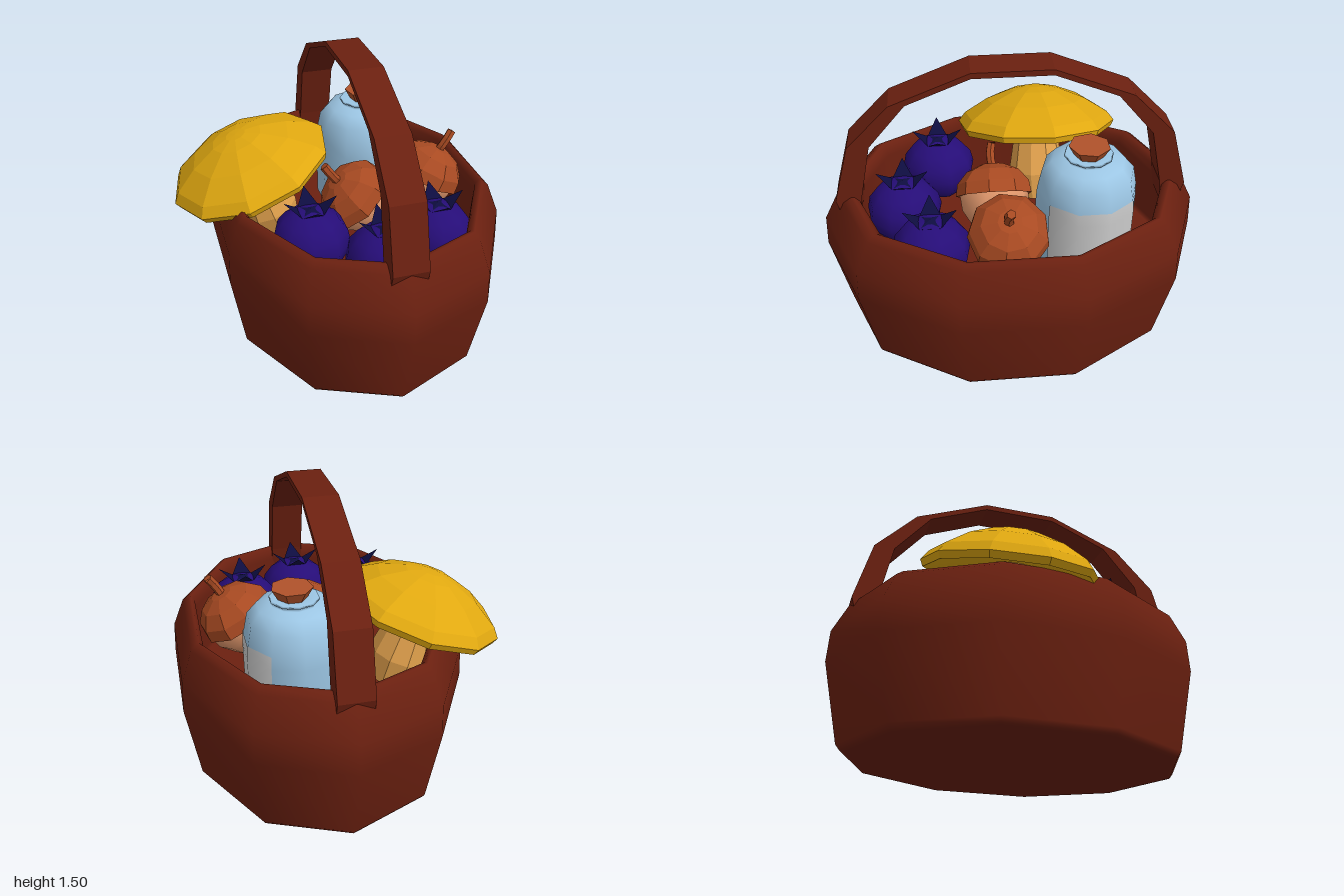
import * as THREE from 'three';

const mat = (color, flatShading = false) =>
  new THREE.MeshStandardMaterial({ color, flatShading, side: THREE.DoubleSide });

const BROWN = mat(0x6b2010);
const YELLOW = mat(0xe0a810, true);
const STALK = mat(0xe0a04c, true);
const GLASS = mat(0x9cc6e4);
const LABEL = mat(0xcccccc);
const CORK = mat(0xb0522a, true);
const NUT = mat(0xe0976c);
const CUPULE = mat(0xa84a22, true);
const BERRY = mat(0x260d78);
const CROWN = mat(0x0e0d40, true);

function add(parent, name, geometry, material) {
  const mesh = new THREE.Mesh(geometry, material);
  mesh.name = name;
  parent.add(mesh);
  return mesh;
}

function group(parent, name, x, y, z, tilt = 0) {
  const g = new THREE.Group();
  g.name = name;
  g.position.set(x, y, z);
  g.rotation.z = tilt;
  parent.add(g);
  return g;
}

// Turned part from [radius, height] pairs
const turned = (pts, sides, start = 0, arc = Math.PI * 2) =>
  new THREE.LatheGeometry(pts.map(p => new THREE.Vector2(p[0], p[1])), sides, start, arc);

// Oval ten-sided basket with a rolled rim and an arched handle
function addBasket(root) {
  const g = group(root, 'basket', 0.1, 0, 0);
  const body = add(g, 'basketBody', turned([
    [0, 0], [0.87, 0], [0.89, 0.005], [0.91, 0.03], [1, 0.45], [0.99, 0.62], [0.91, 0.78],
    [0.87, 0.81], [0.85, 0.81], [0.825, 0.785], [0.82, 0.74], [0.81, 0.45], [0.8, 0.42], [0, 0.42],
  ], 10), BROWN);
  body.scale.x = 0.78;

  // Handle side outline: outer edge, then inner edge
  const outer = [[0.88, 0.68], [0.91, 0.79], [0.82, 1.11], [0.6, 1.335], [0.2, 1.495]];
  const inner = [[0.2, 1.465], [0.52, 1.335], [0.71, 1.11], [0.775, 0.81], [0.79, 0.68]];
  const mirror = pts => pts.map(([z, y]) => [-z, y]).reverse();
  const outline = [...outer, ...mirror(outer), ...mirror(inner), ...inner];
  const shape = new THREE.Shape(outline.map(([z, y]) => new THREE.Vector2(z, y)));
  const arch = new THREE.ExtrudeGeometry(shape, { depth: 0.18, bevelEnabled: false });
  arch.translate(0, 0, -0.09).rotateY(Math.PI / 2);
  add(g, 'handle', arch, BROWN);
}

// Tilted mushroom leaning over the rim
function addMushroom(root) {
  const g = group(root, 'mushroom', -0.42, 0.83, -0.19, 0.335);
  const cap = add(g, 'mushroomCap', turned([
    [0, 0.04], [0.3, 0.01], [0.435, -0.025], [0.45, 0.01], [0.41, 0.06],
    [0.28, 0.14], [0.14, 0.195], [0.055, 0.212], [0, 0.214],
  ], 10), YELLOW);
  cap.rotation.y = THREE.MathUtils.degToRad(25);
  add(g, 'mushroomStalk', turned([
    [0, -0.43], [0.13, -0.43], [0.16, -0.28], [0.13, -0.1], [0.11, 0.05],
  ], 10), STALK);
}

// Corked bottle with a label on its outer side
function addBottle(root) {
  const g = group(root, 'bottle', 0.27, 0, -0.37);
  add(g, 'bottleGlass', turned([
    [0, 0.42], [0.23, 0.42], [0.255, 0.45], [0.26, 0.8], [0.255, 0.87], [0.235, 0.97],
    [0.185, 1.03], [0.12, 1.045], [0.105, 1.05], [0.125, 1.06], [0.12, 1.07], [0.07, 1.065], [0, 1.06],
  ], 10), GLASS);
  add(g, 'bottleLabel', turned([[0.262, 0.52], [0.264, 0.8], [0.259, 0.87]], 3,
    Math.PI * 0.2, Math.PI * 0.6), LABEL);
  const cork = add(g, 'cork', new THREE.CylinderGeometry(0.105, 0.065, 0.07, 7), CORK);
  cork.position.set(0.01, 1.085, 0);
}

// Acorn whose cup edge lies at its origin
function addAcorn(root, x, y, z, tilt) {
  const g = group(root, 'acorn', x, y, z, tilt);
  add(g, 'acornNut', turned([
    [0, -0.27], [0.04, -0.24], [0.12, -0.18], [0.175, -0.09], [0.185, 0], [0.15, 0.05],
  ], 10), NUT);
  add(g, 'acornCup', turned([
    [0.17, -0.01], [0.205, -0.015], [0.195, 0.05], [0.14, 0.115], [0.06, 0.15], [0, 0.155],
  ], 9), CUPULE);
  const path = new THREE.QuadraticBezierCurve3(
    new THREE.Vector3(0, 0.13, 0), new THREE.Vector3(0, 0.2, 0.02), new THREE.Vector3(0.01, 0.265, 0));
  add(g, 'acornStem', new THREE.TubeGeometry(path, 3, 0.024, 6), CUPULE);
  const tip = add(g, 'acornStemEnd', new THREE.CircleGeometry(0.024, 6), CUPULE);
  tip.position.set(0.01, 0.265, 0);
  tip.rotation.x = -Math.PI / 2;
}

// Berry with four flared pointed sepals; y is the top of the flesh
function addBerry(root, x, y, z) {
  const g = group(root, 'berry', x, y, z);
  const body = add(g, 'berryBody', new THREE.SphereGeometry(0.2, 9, 8), BERRY);
  body.scale.y = 0.9;
  body.position.y = -0.18;

  const pos = [];
  for (let i = 0; i < 4; i++) {
    const a = i * Math.PI / 2;
    const at = (r, t, h) => [r * Math.sin(t), h, r * Math.cos(t)];
    const left = at(0.075, a - Math.PI / 4, -0.015);
    const right = at(0.075, a + Math.PI / 4, -0.015);
    pos.push(...left, ...right, ...at(0.135, a, 0.055));
    pos.push(...left, ...right, 0, 0.005, 0);
  }
  const sepals = new THREE.BufferGeometry();
  sepals.setAttribute('position', new THREE.Float32BufferAttribute(pos, 3));
  sepals.computeVertexNormals();
  add(g, 'berryCrown', sepals, CROWN);
}

export function createModel() {
  const root = new THREE.Group();
  root.name = 'filledBasket';
  addBasket(root);
  addMushroom(root);
  addBottle(root);
  addAcorn(root, 0.51, 0.78, 0.05, -0.5);
  addAcorn(root, 0.09, 0.72, 0.09, 0.73);
  addBerry(root, -0.23, 0.87, 0.38);
  addBerry(root, 0.09, 0.825, 0.57);
  addBerry(root, 0.42, 0.82, 0.43);
  return root;
}
